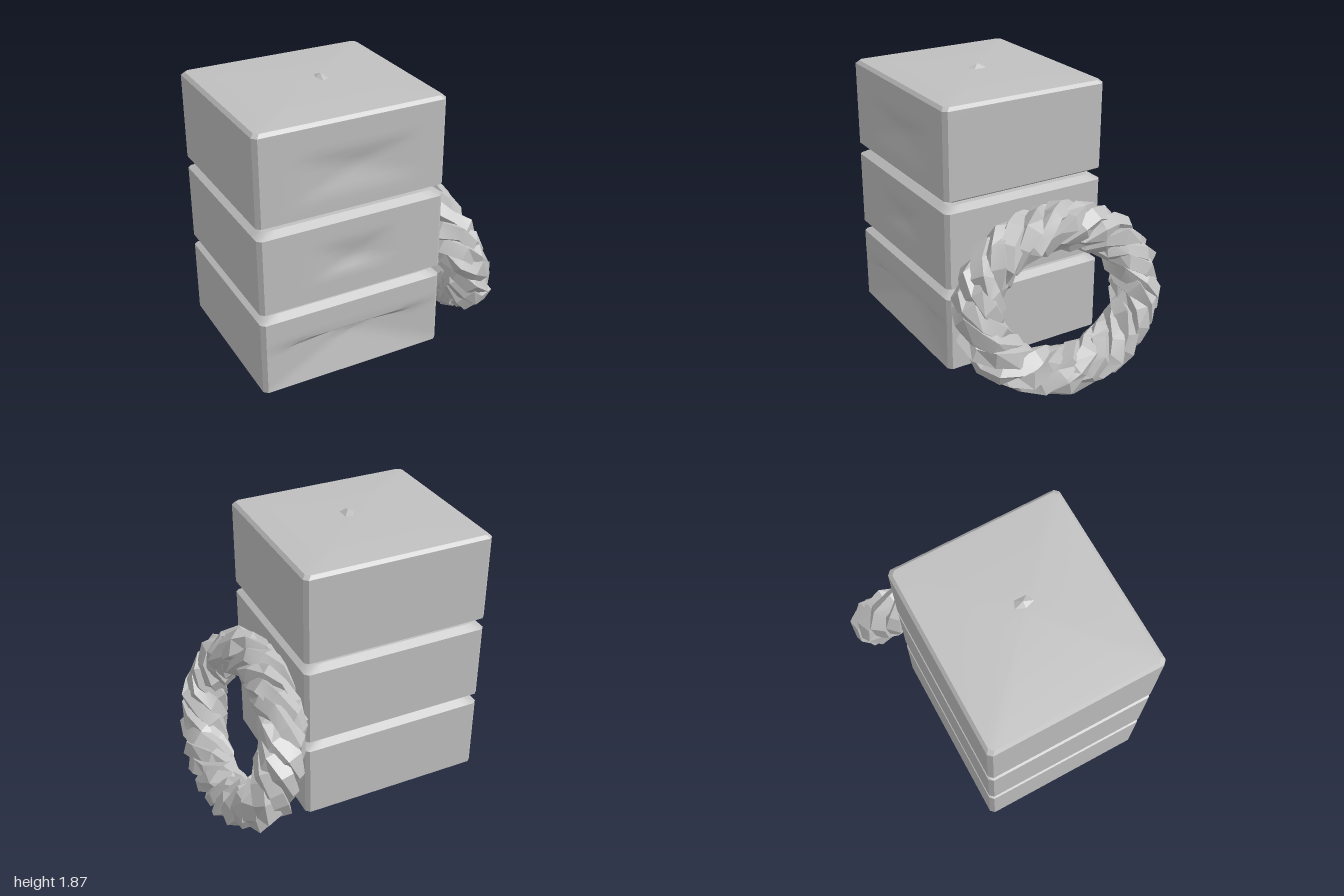
import * as THREE from 'three';
import { toCreasedNormals } from 'three/addons/utils/BufferGeometryUtils.js';

const HX = 0.555, HZ = 0.61, CORNER = 0.025, STEPS = 16, TURN = -0.4;

// Rectangle outline with cut corners, walked front -> left -> back -> right
function outline(inset) {
  const hx = HX - inset, hz = HZ - inset, pts = [];
  const sides = [
    [-hx + CORNER, hz, hx - CORNER, hz], [hx, hz - CORNER, hx, -hz + CORNER],
    [hx - CORNER, -hz, -hx + CORNER, -hz], [-hx, -hz + CORNER, -hx, hz - CORNER],
  ];
  for (const [x0, z0, x1, z1] of sides) {
    for (let i = 0; i <= STEPS; i++) {
      const t = i / STEPS;
      pts.push([x0 + (x1 - x0) * t, z0 + (z1 - z0) * t]);
    }
  }
  return pts;
}

// Packed bundle: bevelled box with raised middle and a dent in its +x side
function bundleGeometry({ y0, y1, bevelLow, bevelHigh, insetLow, insetHigh, peak, dent }) {
  const low = y0 + bevelLow, high = y1 - bevelHigh;
  const levels = [[y0, null], [y0, insetLow]];
  const rows = 14;
  for (let j = 0; j <= rows; j++) levels.push([low + (high - low) * j / rows, 0]);
  levels.push([y1, insetHigh], [y1 + peak, null]);
  const pos = [], idx = [];
  const n = outline(0).length;
  for (const [y, inset] of levels) {
    for (const [x, z] of outline(inset ?? 0)) {
      if (inset === null) { pos.push(0, y, 0); continue; }
      let px = x;
      if (x > HX - 0.001 && inset === 0) {
        const across = Math.max(0, 1 - Math.abs(z - dent.z) / dent.width);
        const dy = y - dent.y;
        const along = Math.max(0, 1 - Math.abs(dy) / (dy > 0 ? dent.up : dent.down));
        px -= dent.depth * Math.min(across, along);
      }
      pos.push(px, y, z);
    }
  }
  for (let j = 0; j < levels.length - 1; j++) {
    for (let i = 0; i < n; i++) {
      const k = (i + 1) % n, a = j * n + i, b = j * n + k, c = a + n, d = b + n;
      if (levels[j][1] !== null) idx.push(a, b, d);
      else { idx.push(a, d, c); continue; }
      if (levels[j + 1][1] !== null) idx.push(a, d, c);
    }
  }
  const geo = new THREE.BufferGeometry();
  geo.setAttribute('position', new THREE.Float32BufferAttribute(pos, 3));
  geo.setIndex(idx);
  return toCreasedNormals(geo, 0.45);
}

// One strand winding around an oval loop
class StrandCurve extends THREE.Curve {
  constructor(phase) { super(); this.phase = phase; }
  getPoint(t, target = new THREE.Vector3()) {
    const A = 0.575, B = 0.44, off = 0.09, a = t * Math.PI * 2;
    const w = a * 5 + this.phase;
    const n = new THREE.Vector2(Math.cos(a) / A, Math.sin(a) / B).normalize();
    const r = off * Math.cos(w);
    return target.set(A * Math.cos(a) + n.x * r, B * Math.sin(a) + n.y * r, off * Math.sin(w));
  }
}

function strandGeometry(phase) {
  const geo = new THREE.TubeGeometry(new StrandCurve(phase), 40, 0.072, 5, true);
  const p = geo.attributes.position;
  // Crumple the strand with a repeatable wobble
  for (let i = 0; i < p.count; i++) {
    const x = p.getX(i), y = p.getY(i), z = p.getZ(i);
    p.setXYZ(i,
      x + 0.016 * Math.sin(x * 31 + y * 47 + z * 59),
      y + 0.016 * Math.sin(x * 53 - y * 37 + z * 41 + 1),
      z + 0.016 * Math.sin(y * 61 - x * 43 + z * 29 + 2));
  }
  return toCreasedNormals(geo, 0.3);
}

export function createModel() {
  const model = new THREE.Group();
  const grey = new THREE.MeshStandardMaterial({ color: 0xc0c0c0 });
  grey.name = 'plain grey';
  const add = (parent, name, geo) => {
    const mesh = new THREE.Mesh(geo, grey);
    mesh.name = name;
    parent.add(mesh);
    return mesh;
  };

  // Stack of three bundles
  const stack = new THREE.Group();
  stack.name = 'bundleStack';
  stack.position.set(-0.1, 0, 0.215);
  stack.rotation.y = TURN;
  model.add(stack);
  add(stack, 'lowerBundle', bundleGeometry({
    y0: 0.08, y1: 0.63, bevelLow: 0.035, bevelHigh: 0.03, insetLow: 0.06, insetHigh: 0.05, peak: 0.012,
    dent: { z: 0, y: 0.38, width: 0.6, up: 0.05, down: 0.27, depth: 0.06 },
  }));
  add(stack, 'middleBundle', bundleGeometry({
    y0: 0.64, y1: 1.195, bevelLow: 0.035, bevelHigh: 0.03, insetLow: 0.07, insetHigh: 0.05, peak: 0.016,
    dent: { z: 0, y: 0.9, width: 0.25, up: 0.14, down: 0.07, depth: 0.03 },
  }));
  add(stack, 'upperBundle', bundleGeometry({
    y0: 1.21, y1: 1.81, bevelLow: 0.035, bevelHigh: 0.02, insetLow: 0.06, insetHigh: 0.02, peak: 0.035,
    dent: { z: -0.02, y: 1.5, width: 0.4, up: 0.12, down: 0.15, depth: 0.03 },
  }));

  // Crumpled fold on top
  const fold = add(stack, 'topFold', toCreasedNormals(new THREE.ConeGeometry(0.13, 0.05, 5), 0.3));
  fold.position.set(0.02, 1.84, -0.06);
  fold.scale.z = 0.65;

  // Coiled rope leaning on the back
  const coil = new THREE.Group();
  coil.name = 'ropeCoil';
  coil.position.set(0.15, 0.565, -0.61);
  coil.rotation.set(0.34, TURN, 0, 'YXZ');
  model.add(coil);
  for (let i = 0; i < 5; i++) add(coil, 'ropeStrand' + (i + 1), strandGeometry(i * Math.PI * 0.4));

  return model;
}
